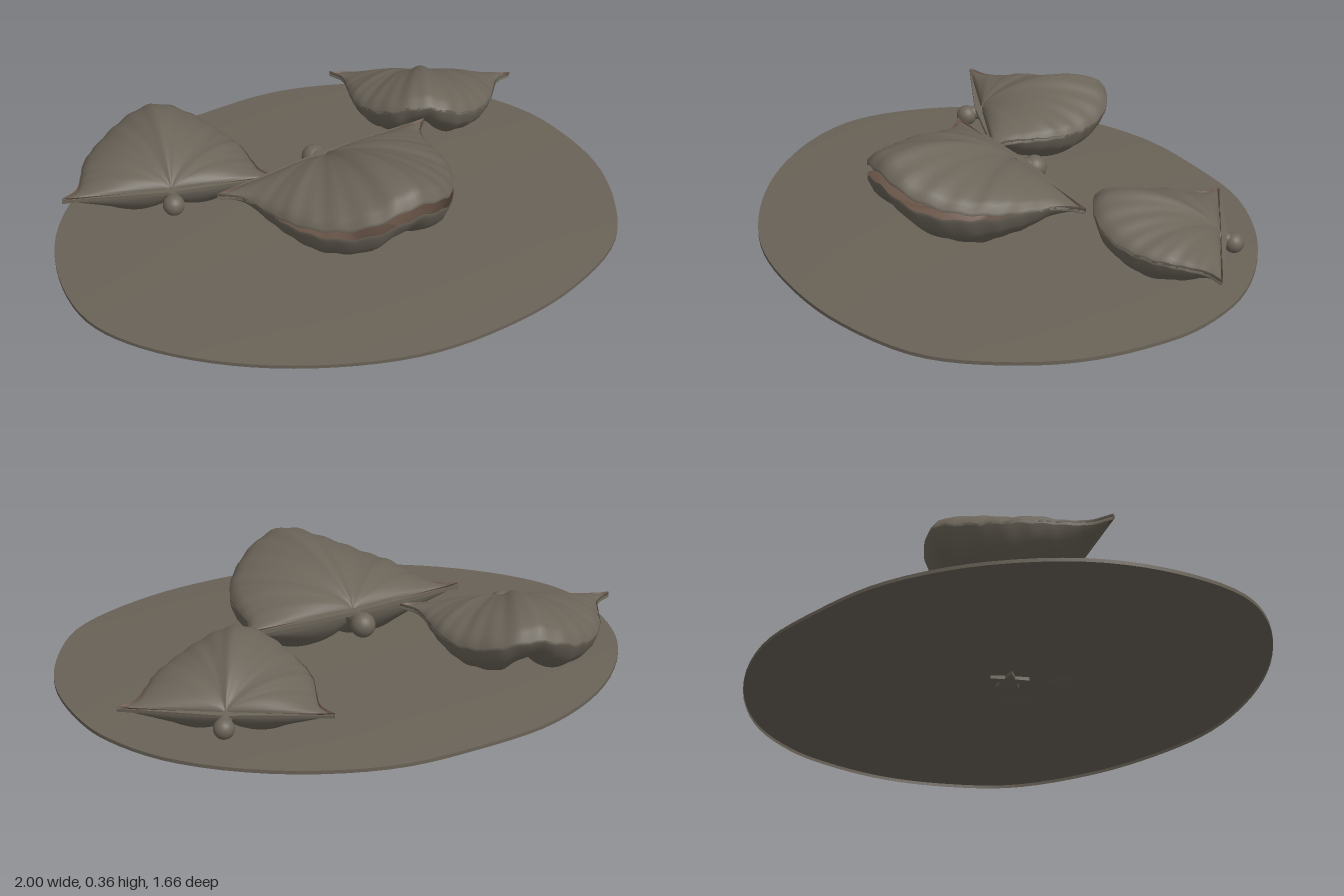
import * as THREE from 'three';

const mat = (name, color) => {
  const m = new THREE.MeshStandardMaterial({ color, side: THREE.DoubleSide });
  m.name = name;
  return m;
};

// Surface from a rule f(u, t) -> [x, y, z], sampled on a grid
function sheet(f, nu, nt) {
  const pos = [], idx = [];
  for (let j = 0; j <= nt; j++) {
    for (let i = 0; i <= nu; i++) pos.push(...f(i / nu, j / nt));
  }
  for (let j = 0; j < nt; j++) {
    for (let i = 0; i < nu; i++) {
      const a = j * (nu + 1) + i, b = a + 1, c = a + nu + 1, d = c + 1;
      idx.push(a, c, b, b, c, d);
    }
  }
  const g = new THREE.BufferGeometry();
  g.setAttribute('position', new THREE.Float32BufferAttribute(pos, 3));
  g.setIndex(idx);
  g.computeVertexNormals();
  return g;
}

const curveOf = (pts, closed) =>
  new THREE.CatmullRomCurve3(pts.map(([x, z]) => new THREE.Vector3(x, 0, z)), closed);

// Fan outline of one valve: straight hinge along x, body towards +z
const half = [[0.43, 0], [0.37, 0.06], [0.345, 0.16], [0.32, 0.28], [0.25, 0.41], [0.13, 0.515]];
const fan = curveOf([...half.map(([x, z]) => [-x, z]), [0, 0.54], ...half.slice().reverse()], false);
const bump = (a, w) => Math.exp(-((a / w) ** 2));

// Height rules for both valves; side is +1 for the upper and -1 for the lower
function valvePoint(side, gap, u, t) {
  const p = fan.getPoint(u);
  const a = Math.atan2(p.x, p.z);
  const fold = bump(a, 0.34), c = Math.max(0, Math.cos(a));
  let rim = 0.04 * fold - 0.03 * c * (1 - fold) + 0.004 * Math.sin(a * 34) * c;
  if (side > 0) rim += gap * p.z / 0.54;
  const belly = Math.pow(Math.max(0, Math.sin(Math.PI * t)), 0.6) * Math.pow(c, 0.45);
  const ribs = 0.006 * Math.cos(a * 14) * t;
  const bulge = side > 0 ? 0.082 + 0.032 * fold + ribs : -0.175 + 0.055 * bump(a, 0.2) + ribs;
  return [p.x * t, rim * t * t + bulge * belly, p.z * t];
}

function valve(name, side, gap, shellMat, liningMat) {
  const g = new THREE.Group();
  g.name = name;
  const thick = 0.012 * side, rows = 24;
  // Outer skin; its last row folds over the lip
  const outer = sheet((u, t) => {
    const s = t * (rows + 1) / rows;
    const p = valvePoint(side, gap, u, Math.min(1, s));
    if (s > 1.001) p[1] -= thick;
    return p;
  }, 96, rows + 1);
  const inner = sheet((u, t) => {
    const p = valvePoint(side, gap, u, t);
    p[1] -= thick * t;
    return p;
  }, 96, rows);
  const skin = new THREE.Mesh(outer, shellMat);
  skin.name = 'outerShell';
  const lining = new THREE.Mesh(inner, liningMat);
  lining.name = 'shellLining';
  g.add(skin, lining);
  return g;
}

function clam(name, gap, shellMat, liningMat) {
  const g = new THREE.Group();
  g.name = name;
  g.add(valve('upperValve', 1, gap, shellMat, liningMat));
  g.add(valve('lowerValve', -1, gap, shellMat, liningMat));

  // Thin ligament joining both wing tips behind the hinge
  const tri = new THREE.Shape([[-0.43, 0.004], [0.43, 0.004], [0, 0.03]].map(([x, y]) => new THREE.Vector2(x, y)));
  const lig = new THREE.ExtrudeGeometry(tri, { depth: 0.014, bevelEnabled: false });
  lig.rotateX(-Math.PI / 2).translate(0, -0.007, 0);
  const ligament = new THREE.Mesh(lig, shellMat);
  ligament.name = 'hingeLigament';

  // Knob on a short stem
  const stem = new THREE.Mesh(new THREE.CylinderGeometry(0.028, 0.028, 0.06, 16), shellMat);
  stem.name = 'hingeStem';
  stem.rotation.x = Math.PI / 2;
  stem.position.set(0, -0.02, -0.02);
  const knob = new THREE.Mesh(new THREE.SphereGeometry(0.043, 24, 16), shellMat);
  knob.name = 'hingeKnob';
  knob.position.set(0, -0.03, -0.065);
  g.add(ligament, stem, knob);
  return g;
}

export function createModel() {
  const root = new THREE.Group();
  root.name = 'clamsOnSand';
  const shellMat = mat('shell', 0x6b6459);
  const liningMat = mat('lining', 0x665246);
  const sandMat = mat('sand', 0x696257);

  // Low sand mound with a thin upright edge
  const outline = curveOf([
    [-1, 0.05], [-0.97, -0.2], [-0.85, -0.45], [-0.6, -0.68], [-0.3, -0.81], [0, -0.835],
    [0.3, -0.81], [0.62, -0.66], [0.87, -0.42], [0.98, -0.18], [1, 0], [0.97, 0.25],
    [0.87, 0.47], [0.7, 0.67], [0.4, 0.795], [0.1, 0.83], [-0.2, 0.8], [-0.5, 0.67],
    [-0.75, 0.48], [-0.93, 0.25],
  ], true);
  const mound = new THREE.Mesh(sheet((u, t) => {
    const p = outline.getPoint(u);
    return [p.x * t, 0.012 + 0.024 * (1 - t ** 2.6), p.z * t];
  }, 96, 20), sandMat);
  mound.name = 'sandMound';
  const edge = new THREE.Mesh(sheet((u, t) => {
    const p = outline.getPoint(u);
    return [p.x, 0.012 * (1 - t), p.z];
  }, 96, 1), sandMat);
  edge.name = 'sandEdge';
  root.add(mound, edge);

  // Small five-armed star under the mound
  const star = new THREE.Shape();
  for (let i = 0; i < 10; i++) {
    const r = i % 2 ? 0.03 : 0.07, a = i * Math.PI / 5;
    star[i ? 'lineTo' : 'moveTo'](r * Math.cos(a), r * Math.sin(a));
  }
  const starMesh = new THREE.Mesh(
    new THREE.ExtrudeGeometry(star, { depth: 0.012, bevelEnabled: false }).rotateX(-Math.PI / 2), shellMat);
  starMesh.name = 'starUnderside';
  starMesh.position.set(0, 0.02, 0);
  root.add(starMesh);

  // name, position, turn, tilt, scale, mouth opening
  const placed = [
    ['frontClam', [0.01, 0.2, -0.08], 0, 0, 1, 0.065],
    ['leftRearClam', [0.69, 0.135, -0.445], -0.607, -0.15, 0.79, 0.012],
    ['rightRearClam', [-0.515, 0.18, -0.23], 2.745, 0, 0.86, 0.018],
  ];
  for (const [name, pos, turn, tilt, size, gap] of placed) {
    const c = clam(name, gap, shellMat, liningMat);
    c.position.set(...pos);
    c.rotation.set(tilt, turn, 0, 'YXZ');
    c.scale.setScalar(size);
    root.add(c);
  }
  return root;
}
